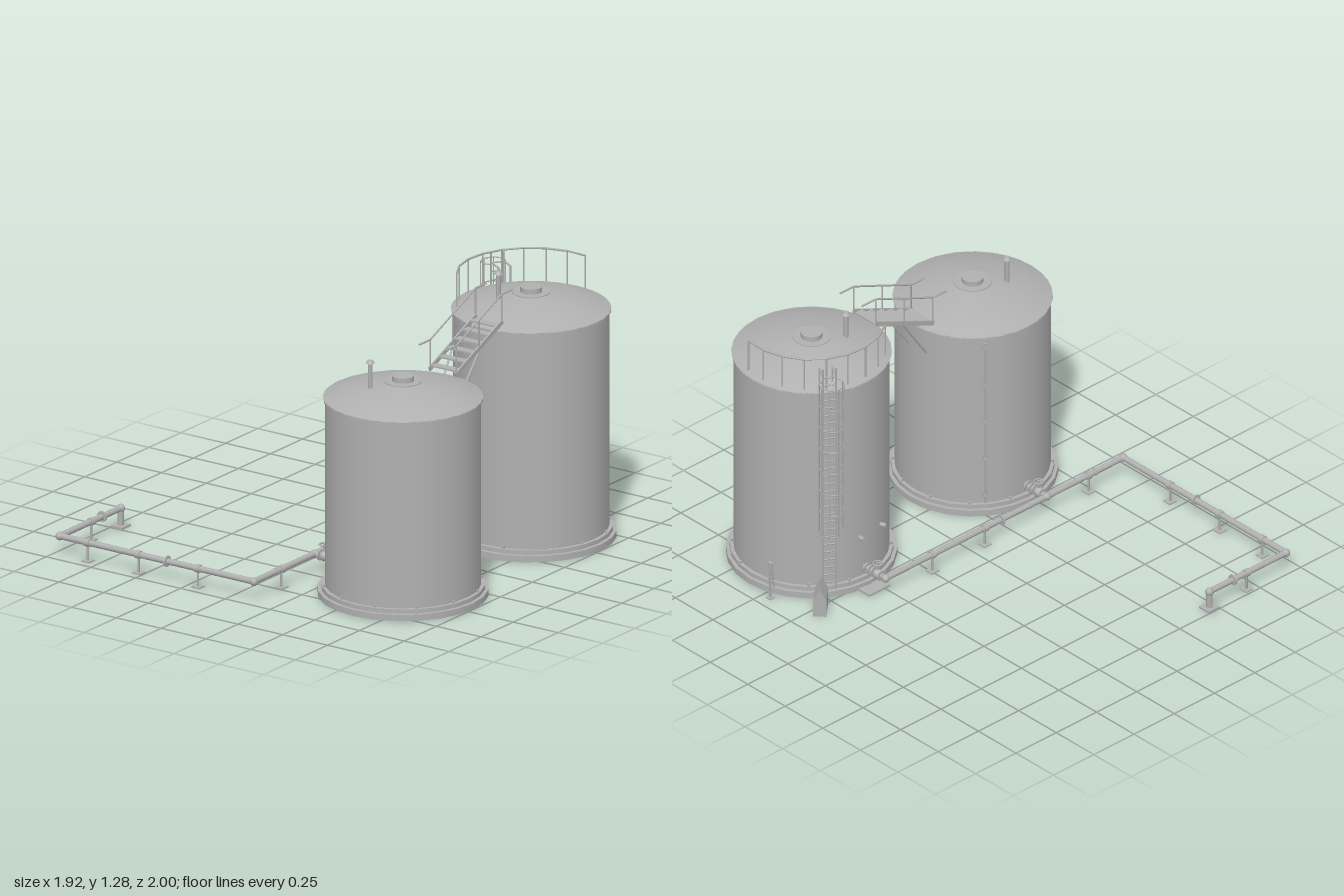
import * as THREE from 'three';

const steel = new THREE.MeshStandardMaterial({ color: 0xb0b0b0 });
steel.name = 'grey steel';
const V = (x, y, z) => new THREE.Vector3(x, y, z);

function add(parent, name, geo, x = 0, y = 0, z = 0) {
  const m = new THREE.Mesh(geo, steel);
  m.name = name;
  m.position.set(x, y, z);
  parent.add(m);
  return m;
}

// Round bar between two points
function rod(parent, name, a, b, r, sides = 6) {
  const m = add(parent, name, new THREE.CylinderGeometry(r, r, a.distanceTo(b), sides));
  m.position.copy(a).add(b).multiplyScalar(0.5);
  m.quaternion.setFromUnitVectors(V(0, 1, 0), b.clone().sub(a).normalize());
  return m;
}

function path(parent, name, pts, r, sides = 6) {
  for (let i = 1; i < pts.length; i++) rod(parent, name, pts[i - 1], pts[i], r, sides);
}

const cyl = (r, h, n = 24) => new THREE.CylinderGeometry(r, r, h, n);
const box = (w, h, d) => new THREE.BoxGeometry(w, h, d);

// Storage tank standing at its own origin, h = eave height
function tank(name, h) {
  const g = new THREE.Group();
  g.name = name;
  add(g, 'baseSlab', cyl(0.39, 0.03), 0, 0.015, 0);
  add(g, 'baseRing', cyl(0.373, 0.02), 0, 0.04, 0);
  add(g, 'shell', cyl(0.355, h - 0.03, 32), 0, (h + 0.03) / 2, 0);
  add(g, 'eaveRing', cyl(0.364, 0.012), 0, h - 0.004, 0);
  const profile = [[0.365, 0], [0.31, 0.021], [0.25, 0.042], [0.17, 0.06], [0.085, 0.075]];
  add(g, 'roof', new THREE.LatheGeometry(profile.map(([r, y]) => new THREE.Vector2(r, h + y)), 32));
  add(g, 'roofPlate', cyl(0.087, 0.01), 0, h + 0.074, 0);
  add(g, 'hatch', cyl(0.05, 0.026), 0, h + 0.09, 0);
  // Roof vent
  rod(g, 'ventPipe', V(-0.13, h + 0.03, -0.09), V(-0.13, h + 0.18, -0.09), 0.011, 10);
  add(g, 'ventCap', new THREE.CylinderGeometry(0.012, 0.021, 0.014, 12), -0.13, h + 0.187, -0.09);
  // Anchor bolts round the foot
  for (let i = 0; i < 12; i++) {
    const a = (i + 0.5) * Math.PI / 6;
    add(g, 'anchorBolt', cyl(0.006, 0.015, 6), 0.363 * Math.cos(a), 0.055, 0.363 * Math.sin(a));
  }
  return g;
}

// Valve branch from the main pipe to a tank wall
function valveBranch(g, x) {
  const y = 0.09;
  rod(g, 'branchPipe', V(x, y, 0.117), V(x, y, 0.27), 0.013, 12);
  add(g, 'branchTee', new THREE.SphereGeometry(0.02, 12, 8), x, y, 0.117);
  add(g, 'valveBody', new THREE.SphereGeometry(0.024, 12, 8), x, y, 0.17);
  for (const z of [0.148, 0.194, 0.215, 0.24])
    rod(g, 'branchFlange', V(x, y, z - 0.004), V(x, y, z + 0.004), 0.025, 12);
  rod(g, 'valveStem', V(x, y, 0.17), V(x, 0.15, 0.17), 0.006);
  const wheel = add(g, 'handwheel', new THREE.TorusGeometry(0.022, 0.004, 6, 14), x, 0.145, 0.17);
  wheel.rotation.x = Math.PI / 2;
  rod(g, 'wheelSpoke', V(x - 0.022, 0.145, 0.17), V(x + 0.022, 0.145, 0.17), 0.003);
}

function pipeline() {
  const g = new THREE.Group();
  g.name = 'pipeline';
  const y = 0.09, L = -0.94, zf = 0.117, zb = -0.967;
  path(g, 'mainPipe', [V(0.535, y, zf), V(L, y, zf), V(L, y, zb), V(-0.465, y, zb)], 0.0145, 12);
  for (const [x, z] of [[0.535, zf], [L, zf], [L, zb], [-0.465, zb]])
    add(g, 'elbow', new THREE.SphereGeometry(0.02, 12, 8), x, y, z);
  // Down pipe and foot at the far end
  rod(g, 'downPipe', V(-0.465, 0, zb), V(-0.465, y, zb), 0.015, 12);
  add(g, 'endPlate', box(0.068, 0.01, 0.066), -0.465, 0.005, zb);
  add(g, 'valvePlate', box(0.13, 0.01, 0.12), 0.535, 0.005, 0.215);
  // Pipe stands
  const stands = [[-0.725, zf], [-0.08, zf], [0.245, zf], [L, -0.195], [L, -0.527], [L, -0.81], [-0.695, zb]];
  for (const [x, z] of stands) {
    const alongX = x !== L;
    add(g, 'standFoot', box(0.045, 0.006, 0.045), x, 0.003, z);
    rod(g, 'standPost', V(x, 0, z), V(x, y, z), 0.006);
    const d = alongX ? V(0.013, 0, 0) : V(0, 0, 0.013), c = V(x, y, z);
    rod(g, 'pipeClamp', c.clone().sub(d), c.clone().add(d), 0.019, 12);
  }
  // Flanges at pipe joints
  for (const [x, z] of [[-0.18, zf], [-0.357, zf], [-0.765, zf], [L, -0.367], [-0.61, zb]]) {
    const d = x === L ? V(0, 0, 0.004) : V(0.004, 0, 0), c = V(x, y, z);
    rod(g, 'pipeFlange', c.clone().sub(d), c.clone().add(d), x === -0.357 || x === -0.765 ? 0.017 : 0.026, 14);
  }
  valveBranch(g, -0.465);
  valveBranch(g, 0.535);
  return g;
}

// Sloping stair bridge between the two roofs
function stairBridge() {
  const g = new THREE.Group();
  g.name = 'stairBridge';
  const x0 = -0.15, y0 = 0.972, x1 = 0.215, y1 = 1.128;
  const slope = Math.atan2(y1 - y0, x1 - x0), len = Math.hypot(x1 - x0, y1 - y0);
  for (const z of [0.532, 0.678]) {
    const s = add(g, 'stringer', box(len, 0.022, 0.008), (x0 + x1) / 2, (y0 + y1) / 2, z);
    s.rotation.z = slope;
    path(g, 'handrail', [V(-0.23, 1.112, z), V(-0.145, 1.112, z), V(0.21, 1.26, z), V(0.295, 1.26, z)], 0.0045);
    for (const [x, a, b] of [[-0.145, 0.972, 1.112], [0.033, 1.05, 1.186], [0.21, 1.126, 1.26]])
      rod(g, 'railPost', V(x, a, z), V(x, b, z), 0.004);
    rod(g, 'brace', V(-0.125, 0.81, z > 0.6 ? 0.66 : 0.55), V(0.04, 1.045, z), 0.005);
  }
  for (let i = 0; i < 6; i++) {
    const t = (i + 0.5) / 6;
    add(g, 'tread', box(0.04, 0.008, 0.14), x0 + (x1 - x0) * t, y0 + (y1 - y0) * t, 0.605);
  }
  return g;
}

// Caged ladder in local space: tank axis at origin, outward along -z
function cagedLadder() {
  const g = new THREE.Group();
  g.name = 'cagedLadder';
  for (const s of [-1, 1]) {
    rod(g, 'ladderRail', V(s * 0.03, 0.04, -0.383), V(s * 0.03, 1.235, -0.383), 0.005);
    path(g, 'stepThroughRail', [V(s * 0.03, 1.19, -0.383), V(s * 0.03, 1.19, -0.3), V(s * 0.03, 1.11, -0.3)], 0.004);
    for (let y = 0.12; y < 1.05; y += 0.147)
      rod(g, 'wallBracket', V(s * 0.03, y, -0.35), V(s * 0.03, y, -0.383), 0.005);
  }
  for (let i = 0; i < 28; i++)
    rod(g, 'rung', V(-0.03, 0.08 + i * 0.041, -0.383), V(0.03, 0.08 + i * 0.041, -0.383), 0.0035);
  const ring = [[-0.03, -0.383], [-0.055, -0.413], [-0.052, -0.452], [-0.024, -0.48],
    [0.024, -0.48], [0.052, -0.452], [0.055, -0.413], [0.03, -0.383]];
  for (let i = 0; i < 8; i++)
    path(g, 'cageHoop', ring.map(([x, z]) => V(x, 0.38 + i * 0.114, z)), 0.003, 5);
  for (const [x, z] of ring.slice(1, 7)) rod(g, 'cageStrip', V(x, 0.38, z), V(x, 1.178, z), 0.003, 5);
  return g;
}

// Guardrail arc on the taller roof, tank axis at origin
function guardrail() {
  const g = new THREE.Group();
  g.name = 'guardrail';
  const a0 = -Math.PI + 0.905, a1 = 0.19, n = 8, pts = [];
  for (let i = 0; i <= n; i++) {
    const a = a0 + (a1 - a0) * i / n;
    pts.push(V(0.338 * Math.cos(a), 1.26, 0.338 * Math.sin(a)));
    rod(g, 'guardPost', pts[i].clone().setY(1.095), pts[i], 0.004);
  }
  path(g, 'topRail', pts, 0.005);
  return g;
}

export function createModel() {
  const model = new THREE.Group();
  model.name = 'tankFarm';
  const low = tank('shortTank', 0.945), high = tank('tallTank', 1.09);
  low.position.set(-0.465, 0, 0.61);
  high.position.set(0.535, 0, 0.61);
  const ladder = cagedLadder();
  ladder.rotation.y = -0.535;
  high.add(ladder, guardrail());
  // Small nozzles low on the tall shell
  for (const [x, z] of [[0.03, -0.355], [-0.113, -0.338]])
    rod(high, 'nozzle', V(x, 0.26, z), V(x * 1.08, 0.26, z * 1.08), 0.011, 10);
  // Level pipe on the short shell
  rod(low, 'levelPipe', V(0.207, 0.06, -0.306), V(0.207, 0.92, -0.306), 0.006);
  for (const y of [0.1, 0.3, 0.5, 0.7, 0.9])
    rod(low, 'levelBracket', V(0.195, y, -0.288), V(0.212, y, -0.314), 0.009);
  model.add(low, high, pipeline(), stairBridge());

  // Control cabinet with a gabled roof
  const gable = new THREE.Shape([[-0.03, 0], [0.03, 0], [0.03, 0.085], [0, 0.145], [-0.03, 0.085]]
    .map(([x, y]) => new THREE.Vector2(x, y)));
  const cabGeo = new THREE.ExtrudeGeometry(gable, { depth: 0.115, bevelEnabled: false });
  cabGeo.translate(0, 0, -0.0575);
  add(model, 'controlCabinet', cabGeo, 0.835, 0, 0.228).rotation.y = Math.PI * 0.74;

  // Gauge post beside the tall tank
  const post = new THREE.Group();
  post.name = 'gaugePost';
  post.position.set(0.935, 0, 0.455);
  add(post, 'postFoot', box(0.03, 0.006, 0.03), 0, 0.003, 0);
  rod(post, 'pole', V(0, 0, 0), V(0, 0.19, 0), 0.006);
  add(post, 'gaugeBox', box(0.012, 0.045, 0.024), 0, 0.17, 0);
  rod(post, 'gaugeStay', V(-0.022, 0.05, 0), V(-0.01, 0.14, 0), 0.004);
  model.add(post);
  return model;
}
